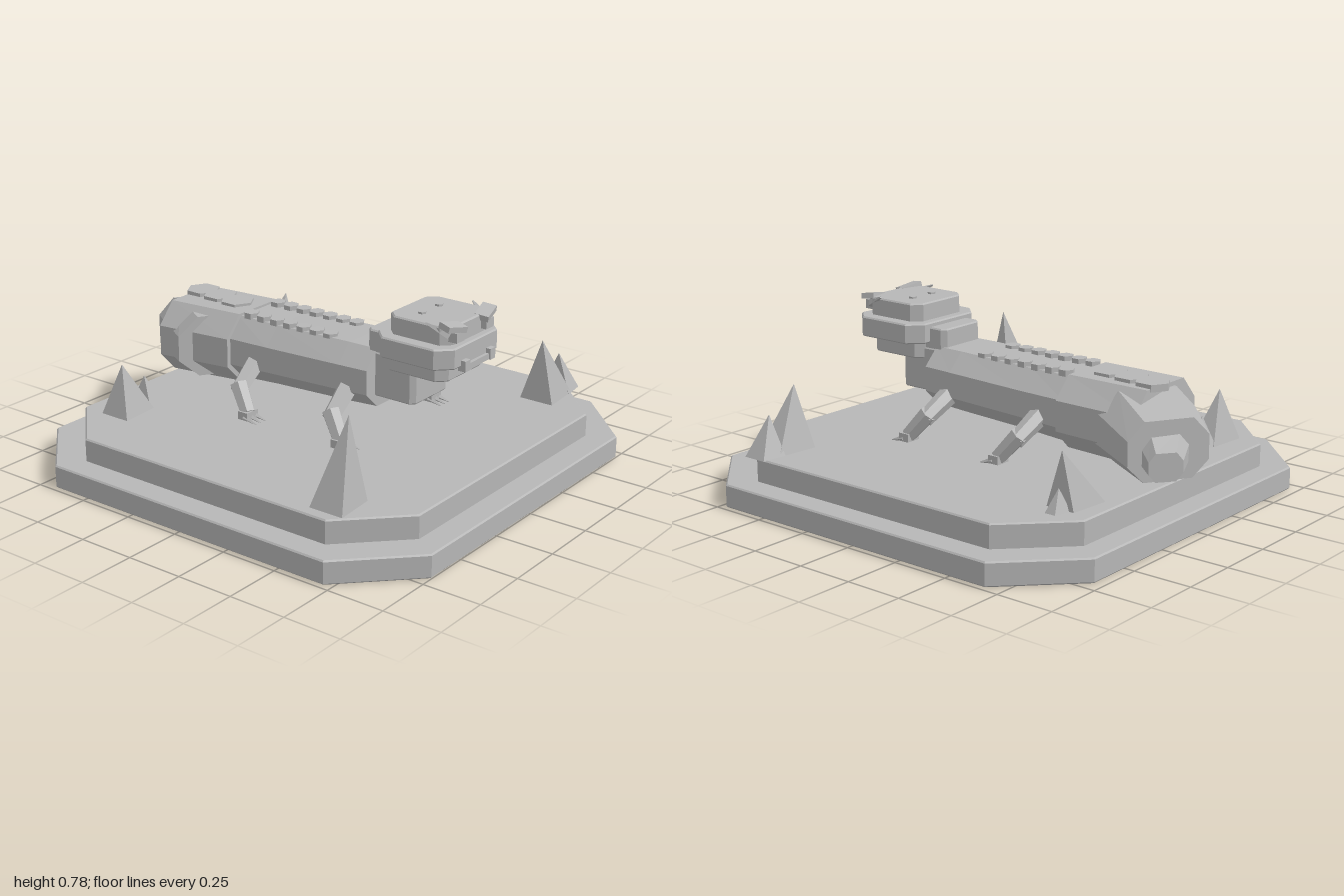
import * as THREE from 'three';

const stone = new THREE.MeshStandardMaterial({ color: 0xb6b6b6, flatShading: true });
stone.name = 'stone grey';

function add(parent, name, geometry) {
  const mesh = new THREE.Mesh(geometry, stone);
  mesh.name = name;
  parent.add(mesh);
  return mesh;
}

// Upright slab with chamfered corners and a fine bevelled rim
function slab(hw, z0, z1, y0, y1, c, b = 0.006) {
  const hd = (z1 - z0) / 2;
  const pts = [[hw, c - hd], [hw, hd - c], [hw - c, hd], [c - hw, hd],
    [-hw, hd - c], [-hw, c - hd], [c - hw, -hd], [hw - c, -hd]];
  const shape = new THREE.Shape(pts.map(([x, y]) => new THREE.Vector2(x, y)));
  const g = new THREE.ExtrudeGeometry(shape, {
    depth: y1 - y0 - 2 * b, bevelThickness: b, bevelSize: b, bevelOffset: -b, bevelSegments: 1,
  });
  return g.rotateX(-Math.PI / 2).translate(0, y0 + b, (z0 + z1) / 2);
}

// Closed octagonal loft; each section is [cx, cz, halfWidth, yBottom, yTop, turn]
const OCT = [[1, 0.28], [1, 0.7], [0.6, 1], [-0.6, 1], [-1, 0.7], [-1, 0.28], [-0.6, 0], [0.6, 0]];
function loft(sections) {
  const pos = [], index = [], n = 8;
  for (const [cx, cz, hw, y0, y1, a = 0] of sections) {
    for (const [u, v] of OCT) {
      pos.push(cx + u * hw * Math.cos(a), y0 + v * (y1 - y0), cz + u * hw * Math.sin(a));
    }
  }
  for (let i = 0; i < sections.length - 1; i++) {
    for (let j = 0; j < n; j++) {
      const a = i * n + j, b = i * n + (j + 1) % n;
      index.push(a, a + n, b, b, a + n, b + n);
    }
  }
  const e = (sections.length - 1) * n;
  for (let j = 1; j < n - 1; j++) index.push(0, j, j + 1, e, e + j + 1, e + j);
  const g = new THREE.BufferGeometry();
  g.setAttribute('position', new THREE.Float32BufferAttribute(pos, 3));
  g.setIndex(index);
  g.computeVertexNormals();
  return g;
}

// Tapered strut between two points
function strut(p, q, r0, r1, sides = 6) {
  const a = new THREE.Vector3(...p), b = new THREE.Vector3(...q);
  const d = b.clone().sub(a);
  const g = new THREE.CylinderGeometry(r1, r0, d.length(), sides);
  g.applyQuaternion(new THREE.Quaternion().setFromUnitVectors(new THREE.Vector3(0, 1, 0), d.normalize()));
  const m = a.add(b).multiplyScalar(0.5);
  return g.translate(m.x, m.y, m.z);
}

// Four-sided rock spike with an off-centre tip
function spike(x0, x1, z0, z1, tx, ty, tz) {
  const y = 0.198;
  const base = [[x0, y, z0], [x0, y, z1], [x1, y, z1 - 0.015], [x1, y, z0 + 0.015]];
  const pos = [];
  base.forEach((p, i) => pos.push(...p, ...base[(i + 1) % 4], tx, ty, tz));
  const g = new THREE.BufferGeometry();
  g.setAttribute('position', new THREE.Float32BufferAttribute(pos, 3));
  g.computeVertexNormals();
  return g;
}

function hexPlate(x, y, z, r, h) {
  return new THREE.CylinderGeometry(r, r, h, 6).translate(x, y, z);
}

export function createModel() {
  const model = new THREE.Group();
  model.name = 'reptileOnPlinth';

  // Stepped plinth
  add(model, 'plinthLower', slab(0.98, -0.96, 1.0, 0, 0.1, 0.285));
  add(model, 'plinthUpper', slab(0.87, -0.855, 0.89, 0.09, 0.2, 0.25));

  // Rock spikes in the four corners
  const spikes = [
    [-0.82, -0.64, 0.525, 0.68, -0.68, 0.55, 0.605],
    [-0.655, -0.56, 0.55, 0.66, -0.61, 0.32, 0.6],
    [0.61, 0.8, 0.565, 0.725, 0.645, 0.47, 0.645],
    [0.77, 0.88, 0.575, 0.715, 0.79, 0.37, 0.645],
    [-0.63, -0.45, -0.745, -0.6, -0.57, 0.42, -0.675],
    [-0.47, -0.37, -0.73, -0.615, -0.44, 0.33, -0.675],
    [0.4, 0.58, -0.79, -0.63, 0.57, 0.43, -0.71],
    [0.57, 0.65, -0.755, -0.675, 0.595, 0.29, -0.715],
  ];
  spikes.forEach((s) => add(model, 'rockSpike', spike(...s)));

  // Body and bent tail
  add(model, 'body', loft([
    [0, 0.32, 0.185, 0.33, 0.58], [0, 0.18, 0.19, 0.322, 0.58],
    [0, -0.2, 0.19, 0.305, 0.57], [0, -0.42, 0.19, 0.29, 0.57],
  ]));
  add(model, 'tailBase', loft([
    [0, -0.4, 0.21, 0.275, 0.58], [-0.02, -0.77, 0.21, 0.255, 0.573],
  ]));
  add(model, 'tailEnd', loft([
    [-0.09, -0.5, 0.22, 0.28, 0.55, 0.6], [0.03, -0.72, 0.205, 0.255, 0.555, 0.57],
    [0.15, -0.905, 0.172, 0.245, 0.49, 0.55],
  ]));
  add(model, 'tailTip', loft([
    [0.14, -0.88, 0.105, 0.27, 0.44, 0.6], [0.235, -0.952, 0.07, 0.27, 0.385, 0.65],
  ]));

  // Back and tail scales
  for (let i = 0; i < 7; i++) {
    const z = 0.065 - i * 0.071;
    for (const s of [-1, 1]) add(model, 'backScale', hexPlate(s * 0.09, 0.575, z, 0.034, 0.03));
  }
  for (let i = 0; i < 3; i++) {
    add(model, 'tailScale', hexPlate(0.02 - i * 0.012, 0.575, -0.735 + i * 0.11, 0.075, 0.03));
  }

  // Neck
  add(model, 'neck', slab(0.125, 0.28, 0.51, 0.38, 0.57, 0.02));
  add(model, 'nape', slab(0.12, 0.27, 0.42, 0.55, 0.66, 0.02));

  // Head
  const head = new THREE.Group();
  head.name = 'head';
  model.add(head);
  add(head, 'lowerJaw', slab(0.155, 0.37, 0.67, 0.52, 0.6, 0.04));
  add(head, 'upperJaw', slab(0.212, 0.35, 0.72, 0.592, 0.68, 0.06));
  add(head, 'crown', slab(0.157, 0.39, 0.69, 0.67, 0.757, 0.04));
  add(head, 'snoutBar', new THREE.BoxGeometry(0.2, 0.025, 0.03).translate(0, 0.587, 0.72));
  for (const s of [-1, 1]) {
    add(head, 'nostril', new THREE.BoxGeometry(0.035, 0.045, 0.035).translate(s * 0.09, 0.597, 0.725));
    add(head, 'crownStud', hexPlate(s * 0.06, 0.758, 0.5, 0.018, 0.014));
    const brow = add(head, 'brow', new THREE.BoxGeometry(0.1, 0.025, 0.06));
    brow.position.set(s * 0.115, 0.752, 0.685);
    brow.rotation.set(0.15, s * 0.25, s * 0.15);
    add(head, 'eye', new THREE.BoxGeometry(0.055, 0.04, 0.04).translate(s * 0.105, 0.715, 0.695));
    add(head, 'browHorn', strut([s * 0.13, 0.72, 0.68], [s * 0.168, 0.765, 0.59], 0.022, 0.004, 4));
  }

  // Four legs with clawed feet
  for (const dz of [0, -0.49]) {
    for (const s of [-1, 1]) {
      const leg = new THREE.Group();
      leg.name = dz ? 'backLeg' : 'frontLeg';
      leg.position.z = dz;
      model.add(leg);
      add(leg, 'upperLeg', strut([s * 0.15, 0.405, 0.205], [s * 0.3, 0.315, 0.225], 0.044, 0.036));
      add(leg, 'lowerLeg', strut([s * 0.285, 0.34, 0.215], [s * 0.322, 0.238, 0.295], 0.04, 0.034));
      add(leg, 'foot', new THREE.BoxGeometry(0.07, 0.035, 0.05).translate(s * 0.322, 0.235, 0.295));
      for (const t of [-1, 0, 1]) {
        add(leg, 'claw', strut([s * 0.322 + t * 0.027, 0.23, 0.3],
          [s * 0.322 + t * 0.03, 0.212, 0.365], 0.014, 0.002, 4));
      }
    }
  }
  return model;
}
